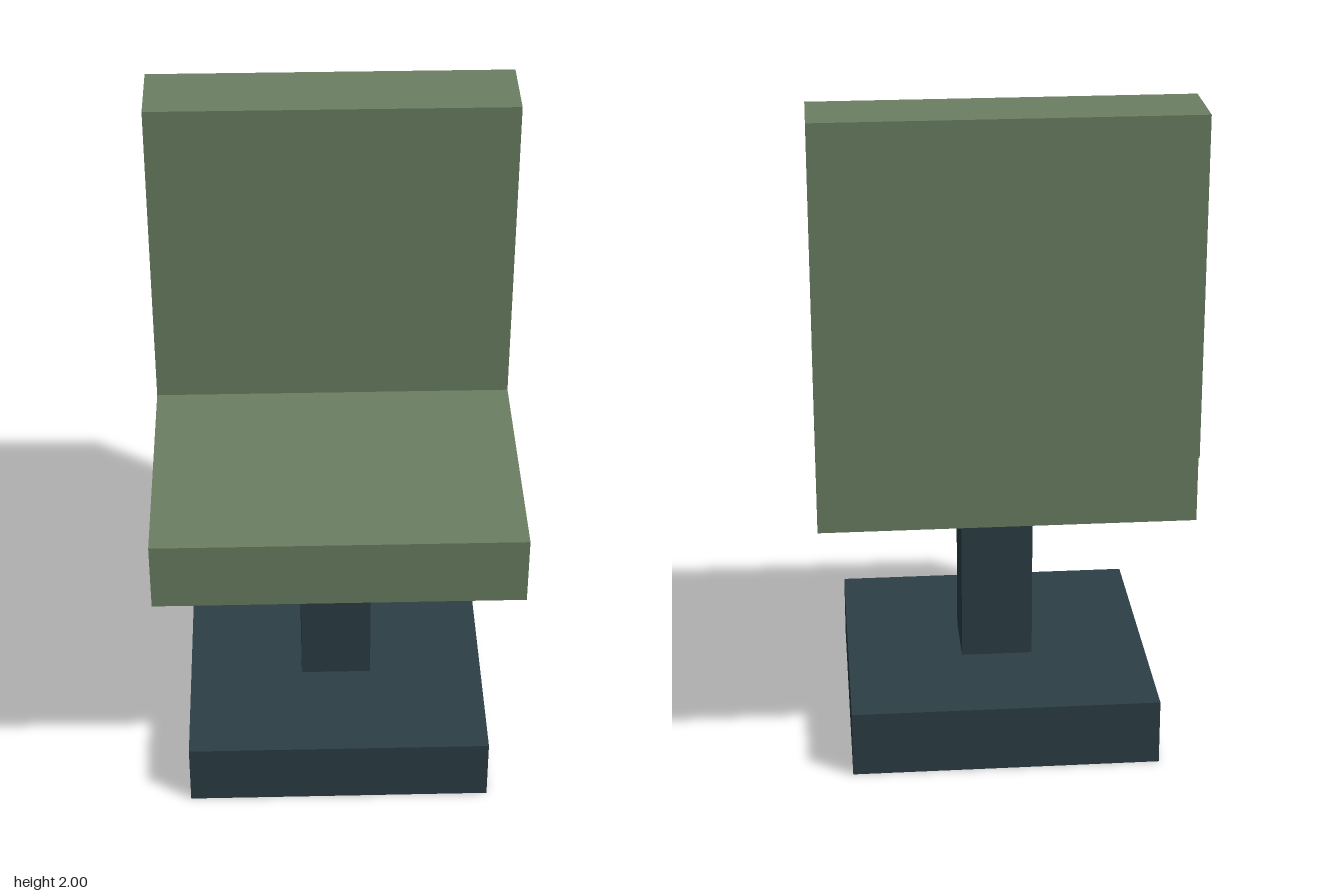
import * as THREE from 'three';

const upholstery = new THREE.MeshStandardMaterial({ color: 0x6b7f62, name: 'sage green' });
const metal = new THREE.MeshStandardMaterial({ color: 0x2c3f46, name: 'dark slate' });

// Box given by its width and its y and z extents, centred on x = 0
function block(name, material, width, [y0, y1], [z0, z1]) {
  const mesh = new THREE.Mesh(new THREE.BoxGeometry(width, y1 - y0, z1 - z0), material);
  mesh.position.set(0, (y0 + y1) / 2, (z0 + z1) / 2);
  mesh.name = name;
  return mesh;
}

export function createModel() {
  const chair = new THREE.Group();
  chair.name = 'chair';
  chair.add(
    block('base', metal, 0.916, [0, 0.2], [-0.449, 0.467]),
    block('post', metal, 0.216, [0.2, 0.803], [-0.099, 0.116]),
    block('seat', upholstery, 1.084, [0.803, 1.017], [-0.474, 0.492]),
    // The backrest overhangs the rear of the seat slightly
    block('backrest', upholstery, 1.084, [1.004, 2], [-0.492, -0.261]),
  );
  return chair;
}
